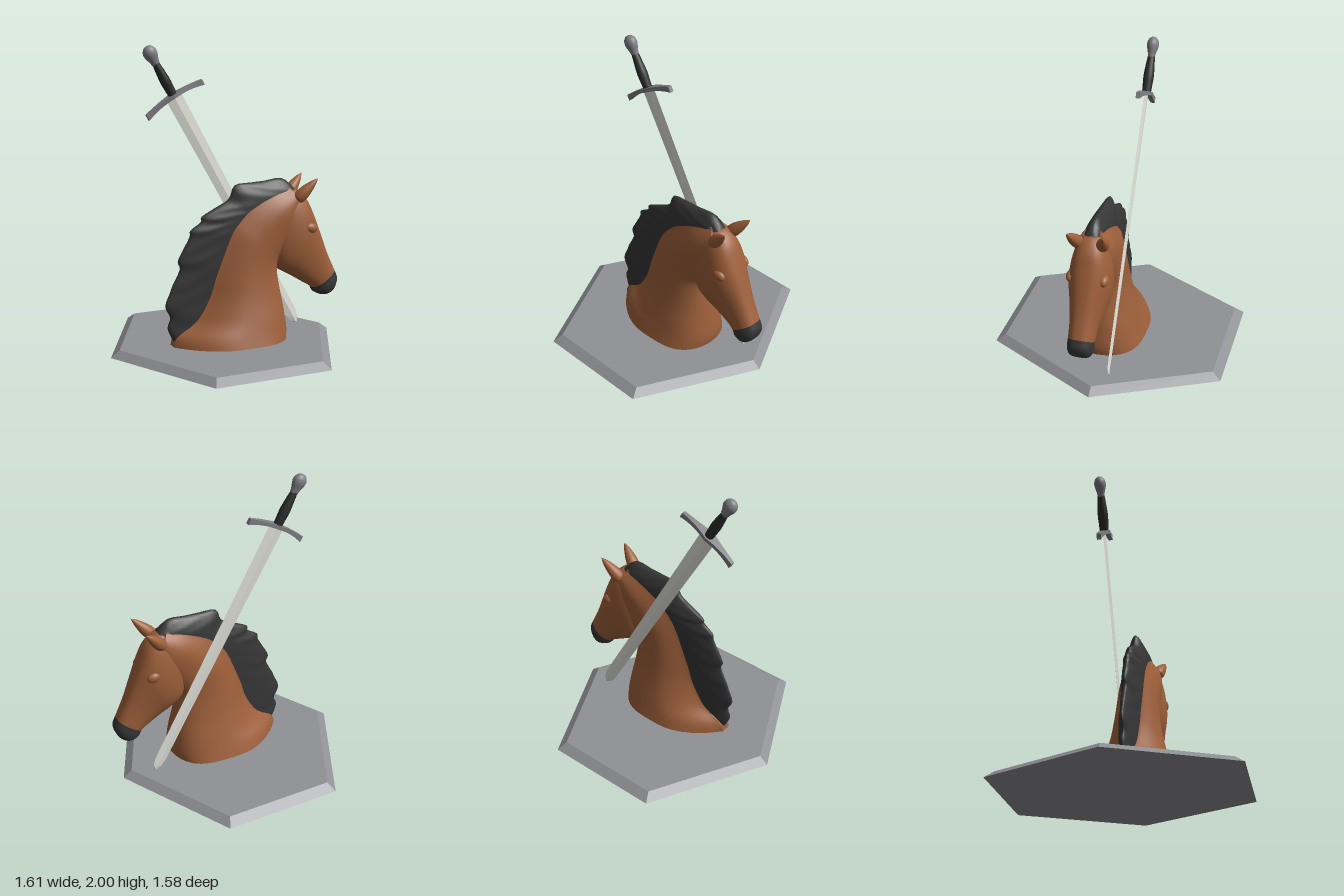
import * as THREE from 'three';
import { toCreasedNormals } from 'three/addons/utils/BufferGeometryUtils.js';

const MID = 0.065; // z of the horse's plane of symmetry

const mat = (name, color) => {
  const m = new THREE.MeshStandardMaterial({ color });
  m.name = name;
  return m;
};

// Catmull-Rom resampling of rows of numbers, m steps per span
function smooth(rows, m) {
  const out = [];
  const at = (i) => rows[Math.min(rows.length - 1, Math.max(0, i))];
  for (let i = 0; i < rows.length - 1; i++) {
    for (let k = 0; k < m; k++) {
      const t = k / m;
      out.push(rows[i].map((p1, c) => {
        const p0 = at(i - 1)[c], p2 = at(i + 1)[c], p3 = at(i + 2)[c];
        return p1 + 0.5 * t * (p2 - p0 + t * (2 * p0 - 5 * p1 + 4 * p2 - p3 + t * (3 * (p1 - p2) + p3 - p0)));
      }));
    }
  }
  out.push(rows[rows.length - 1]);
  return out;
}

// Closed skin over rings of [x, y, z] points, capped at both ends
function loft(rings, crease = 0.9) {
  const n = rings[0].length, pos = rings.flat(2), idx = [];
  for (let r = 0; r < rings.length - 1; r++) {
    for (let i = 0; i < n; i++) {
      const a = r * n + i, b = r * n + (i + 1) % n;
      idx.push(a, b, a + n, b, b + n, a + n);
    }
  }
  [0, rings.length - 1].forEach((r, end) => {
    const c = pos.length / 3;
    pos.push(...[0, 1, 2].map((k) => rings[r].reduce((s, p) => s + p[k], 0) / n));
    for (let i = 0; i < n; i++) {
      const a = r * n + i, b = r * n + (i + 1) % n;
      if (end) idx.push(a, b, c); else idx.push(b, a, c);
    }
  });
  // Turn the skin outward if its enclosed volume is negative
  const v = (i) => new THREE.Vector3().fromArray(pos, i * 3);
  let volume = 0;
  for (let i = 0; i < idx.length; i += 3) volume += v(idx[i]).dot(v(idx[i + 1]).cross(v(idx[i + 2])));
  if (volume < 0) idx.reverse();
  const g = new THREE.BufferGeometry();
  g.setAttribute('position', new THREE.Float32BufferAttribute(pos, 3));
  g.setIndex(idx);
  return toCreasedNormals(g, crease);
}

// Mirrored ring between two points of the profile; width(u) is the half width
function ring(ax, ay, bx, by, width, n = 20) {
  const half = [];
  for (let i = 0; i <= n; i++) {
    const u = (1 - Math.cos(Math.PI * i / n)) / 2;
    half.push([ax + (bx - ax) * u, ay + (by - ay) * u, width(u)]);
  }
  return [
    ...half.map(([x, y, z]) => [x, y, MID + z]),
    ...half.reverse().map(([x, y, z]) => [x, y, MID - z]),
  ];
}

// Neck section: lean towards the crest, blunter towards the chest
const neckShape = (u, blunt) =>
  u < 0.5 ? Math.sin(Math.PI * u) ** 0.7 : Math.sqrt(1 - (2 * u - 1) ** blunt);

export function createModel() {
  const model = new THREE.Group();
  const coat = mat('chestnut coat', 0x9d5f3a);
  const dark = mat('black hair', 0x363637);
  const stone = mat('grey base', 0x909196);
  const steel = mat('blade steel', 0xe2e2da);
  const iron = mat('dark iron', 0x7f7f84);
  const leather = mat('grip leather', 0x2b2c2c);
  const add = (name, geometry, material, parent = model) => {
    const mesh = new THREE.Mesh(geometry, material);
    mesh.name = name;
    parent.add(mesh);
    return mesh;
  };

  // Bevelled six-sided base
  const hex = (r, rz, y) => [[-1, 0], [-0.5, -1], [0.5, -1], [1, 0], [0.5, 1], [-0.5, 1]]
    .map(([x, z]) => [-0.015 + x * r, y, z * rz]);
  add('base', loft([hex(0.795, 0.79, 0), hex(0.735, 0.73, 0.045)], 0.2), stone);

  // Neck: crest x, y, front x, y, half width, crest half width
  const neck = smooth([
    [-0.41, 0.01, 0.385, 0.01, 0.274, 0.03],
    [-0.385, 0.11, 0.40, 0.10, 0.243, 0.04],
    [-0.265, 0.20, 0.385, 0.22, 0.21, 0.05],
    [-0.175, 0.35, 0.365, 0.34, 0.174, 0.055],
    [-0.13, 0.50, 0.345, 0.45, 0.15, 0.06],
    [-0.08, 0.65, 0.34, 0.52, 0.138, 0.062],
    [-0.02, 0.80, 0.355, 0.565, 0.133, 0.063],
    [0.05, 0.88, 0.39, 0.61, 0.130, 0.064],
    [0.15, 0.96, 0.43, 0.68, 0.128, 0.064],
    [0.28, 1.02, 0.48, 0.77, 0.122, 0.062],
    [0.42, 1.05, 0.52, 0.90, 0.095, 0.05],
  ], 4);
  add('neck', loft(neck.map(([bx, by, fx, fy, w, wb]) => ring(bx, by, fx, fy, (u) =>
    Math.hypot(w * neckShape(u, Math.max(2.6, 4 - 4 * by)), wb * (1 - u) ** 2)))), coat);

  // Head: jaw x, y, face x, y, half width; the last spans are the dark muzzle
  const head = smooth([
    [0.24, 0.80, 0.36, 1.035, 0.06],
    [0.275, 0.655, 0.47, 1.035, 0.112],
    [0.325, 0.52, 0.55, 0.97, 0.136],
    [0.40, 0.467, 0.605, 0.86, 0.137],
    [0.48, 0.42, 0.66, 0.73, 0.112],
    [0.56, 0.37, 0.72, 0.58, 0.091],
    [0.615, 0.335, 0.78, 0.45, 0.085],
    [0.635, 0.30, 0.803, 0.39, 0.086],
    [0.675, 0.28, 0.785, 0.325, 0.072],
    [0.71, 0.278, 0.755, 0.298, 0.045],
  ], 4).map(([jx, jy, fx, fy, w]) => ring(jx, jy, fx, fy, (u) => w * (4 * u * (1 - u)) ** 0.36));
  add('head', loft(head.slice(0, 25)), coat);
  add('muzzle', loft(head.slice(24)), dark);

  // Mane: root x, y, outer edge x, y, half width
  const mane = smooth([
    [-0.395, 0.06, -0.40, 0.08, 0.022],
    [-0.38, 0.11, -0.44, 0.17, 0.036],
    [-0.315, 0.16, -0.42, 0.24, 0.046],
    [-0.245, 0.225, -0.455, 0.32, 0.054],
    [-0.185, 0.33, -0.42, 0.41, 0.058],
    [-0.15, 0.43, -0.40, 0.46, 0.061],
    [-0.125, 0.52, -0.35, 0.56, 0.064],
    [-0.10, 0.60, -0.365, 0.61, 0.066],
    [-0.075, 0.67, -0.33, 0.68, 0.067],
    [-0.045, 0.74, -0.28, 0.77, 0.068],
    [-0.02, 0.80, -0.275, 0.81, 0.069],
    [0.01, 0.84, -0.20, 0.86, 0.069],
    [0.04, 0.875, -0.195, 0.895, 0.069],
    [0.07, 0.905, -0.09, 0.95, 0.07],
    [0.10, 0.93, 0.00, 1.00, 0.07],
    [0.14, 0.955, 0.04, 1.085, 0.07],
    [0.22, 0.995, 0.15, 1.095, 0.07],
    [0.30, 1.02, 0.26, 1.10, 0.068],
    [0.40, 1.03, 0.38, 1.11, 0.06],
    [0.465, 1.02, 0.455, 1.055, 0.04],
  ], 3);
  // The root is sunk into the neck so that no gap opens along the crest
  add('mane', loft(mane.map(([ix, iy, ox, oy, w], i) => ring(ix + 0.02, iy - 0.015, ox, oy, (u) =>
    w * (1 - 0.25 * u) * Math.sqrt(Math.max(0, Math.cos(u * Math.PI / 2)))
      * (1 + 0.06 * u * Math.sin(i * 1.3 + u * 9))))), dark);

  // Ears and eyes, mirrored
  const lathe = (points) => new THREE.LatheGeometry(
    new THREE.SplineCurve(points.map(([x, y]) => new THREE.Vector2(x, y))).getPoints(24)
      .map((p) => p.setX(Math.max(0, p.x))), 20);
  for (const side of [1, -1]) {
    const label = side > 0 ? 'left' : 'right';
    const ear = add(label + 'Ear', lathe([[0, -0.05], [0.034, -0.035], [0.042, 0], [0.037, 0.05], [0.02, 0.115], [0, 0.16]]), coat);
    ear.position.set(0.488, 0.998, MID + side * 0.084);
    ear.quaternion.setFromUnitVectors(new THREE.Vector3(0, 1, 0),
      new THREE.Vector3(0.107, 0.112, side * 0.034).normalize());
    const eye = add(label + 'Eye', new THREE.SphereGeometry(1, 20, 14), coat);
    eye.scale.set(0.05, 0.036, 0.03);
    eye.position.set(0.548, 0.775, MID + side * 0.11);
    eye.rotation.z = -0.2;
  }

  // Sword, built upright around its guard and then tilted
  const sword = new THREE.Group();
  sword.name = 'sword';
  sword.position.set(-0.323, 1.66, -0.073);
  sword.rotation.z = 0.509;
  model.add(sword);

  const blade = [[0.01, 0.057], [-0.6, 0.05], [-1.2, 0.045], [-1.66, 0.043], [-1.77, 0.041], [-1.815, 0.03], [-1.843, 0.011]];
  add('blade', loft(blade.map(([y, w]) => [[w, y, 0], [0, y, 0.009], [-w, y, 0], [0, y, -0.009]]), 0.1), steel, sword);

  // Guard: bowed towards the blade, thick at the middle and flared at the tips
  const guard = [];
  for (let i = 0; i <= 16; i++) {
    const t = i / 8 - 1, y = 0.018 - 0.03 * t * t;
    const h = 0.012 + 0.008 * t * t, d = 0.014 + 0.026 * (1 - Math.abs(t)) ** 2;
    guard.push([[t * 0.22, y - h, d], [t * 0.22, y + h, d], [t * 0.22, y + h, -d], [t * 0.22, y - h, -d]]);
  }
  add('guard', loft(guard, 0.6), iron, sword);

  add('grip', lathe([[0.029, 0.02], [0.032, 0.08], [0.034, 0.13], [0.029, 0.2], [0.023, 0.26]]), leather, sword);
  const pommel = add('pommel', lathe([[0, 0.245], [0.024, 0.25], [0.032, 0.28], [0.046, 0.325], [0.042, 0.358], [0.022, 0.381], [0, 0.386]]), iron, sword);
  pommel.scale.z = 0.82;

  return model;
}
